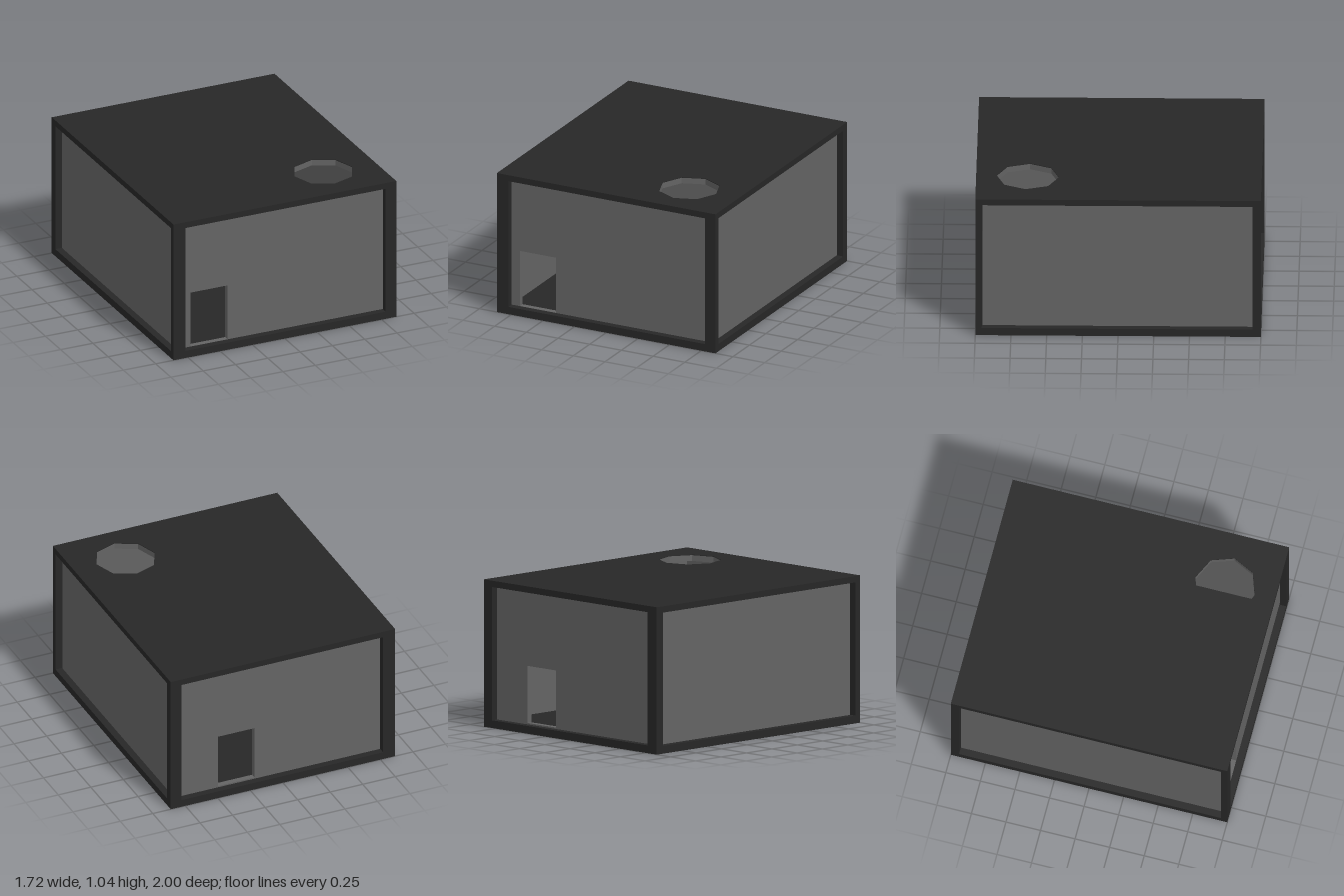
import * as THREE from 'three';

const frameMat = new THREE.MeshStandardMaterial({ color: 0x272727, flatShading: true });
const panelMat = new THREE.MeshStandardMaterial({ color: 0x646464, flatShading: true });

const X = 0.862, Z = 1, H = 1.045; // outer half width, half depth, height
const RECESS = 0.05, WALL = 0.04;
const FLOOR = 0.055, CEILING = 1.0;

export function createModel() {
  const model = new THREE.Group();

  const add = (name, geometry, material) => {
    const mesh = new THREE.Mesh(geometry, material);
    mesh.name = name;
    model.add(mesh);
    return mesh;
  };

  // Box given by its two opposite corners
  const box = (name, material, x0, x1, y0, y1, z0, z1) =>
    add(name, new THREE.BoxGeometry(x1 - x0, y1 - y0, z1 - z0), material)
      .position.set((x0 + x1) / 2, (y0 + y1) / 2, (z0 + z1) / 2);

  const rect = (T, x0, x1, y0, y1) => new T([
    new THREE.Vector2(x0, y0), new THREE.Vector2(x1, y0),
    new THREE.Vector2(x1, y1), new THREE.Vector2(x0, y1),
  ]);

  const octagon = (cx, cz) => {
    const points = [];
    for (let i = 0; i < 8; i++) {
      const a = i * Math.PI / 4 + 0.06;
      points.push(new THREE.Vector2(cx + 0.218 * Math.cos(a), cz + 0.218 * Math.sin(a)));
    }
    return new THREE.Path(points);
  };

  const extrude = (shape, hole, depth) => {
    shape.holes.push(hole);
    return new THREE.ExtrudeGeometry(shape, { depth, bevelEnabled: false });
  };

  // Horizontal plate with an octagonal opening
  const plate = (name, material, hx, hz, y0, y1, hole) => {
    const geometry = extrude(rect(THREE.Shape, -hx, hx, -hz, hz), hole, y1 - y0);
    geometry.rotateX(Math.PI / 2);
    add(name, geometry, material).position.y = y1;
  };

  // End wall with a doorway
  const endWall = (name, z0, doorLeft, doorRight, sill) => {
    const shape = rect(THREE.Shape, -X + RECESS, X - RECESS, 0.03, CEILING + 0.02);
    const door = rect(THREE.Path, doorLeft, doorRight, sill, 0.47);
    add(name, extrude(shape, door, WALL), panelMat).position.z = z0;
  };

  // Corner posts
  for (const [x0, x1] of [[-X, -0.77], [0.78, X]]) {
    box('frontPost', frameMat, x0, x1, 0, H - 0.002, 0.955, Z);
    box('backPost', frameMat, x0, x1, 0, H - 0.002, -Z, -0.94);
  }

  // Bottom and top beams around the perimeter
  for (const [name, y0, y1] of [['bottomBeam', 0, FLOOR], ['topBeam', CEILING, H - 0.004]]) {
    for (const s of [-1, 1]) {
      box(name, frameMat, -X, X, y0, y1, Math.min(s * Z, s * 0.945), Math.max(s * Z, s * 0.945));
      box(name, frameMat, Math.min(s * X, s * 0.8), Math.max(s * X, s * 0.8), y0, y1, -0.945, 0.945);
    }
  }

  // Recessed walls
  endWall('frontWall', Z - RECESS - WALL, -0.705, -0.42, 0.056);
  endWall('backWall', -Z + RECESS, 0.195, 0.478, 0.065);
  for (const s of [-1, 1]) {
    const c = s * (X - RECESS - WALL / 2);
    box('sideWall', panelMat, c - WALL / 2, c + WALL / 2, 0.03, CEILING + 0.02, -0.95, 0.95);
  }

  // Floor and roof, each a panel faced with a dark sheet
  plate('floorPanel', panelMat, 0.8, 0.945, 0.002, FLOOR - 0.004, octagon(-0.51, -0.66));
  plate('floorSheet', frameMat, 0.79, 0.93, FLOOR - 0.004, FLOOR, octagon(-0.51, -0.66));
  plate('ceilingPanel', panelMat, 0.8, 0.945, CEILING, H - 0.004, octagon(0.468, 0.638));
  plate('roofSheet', frameMat, X, Z, H - 0.004, H, octagon(0.468, 0.638));

  return model;
}
